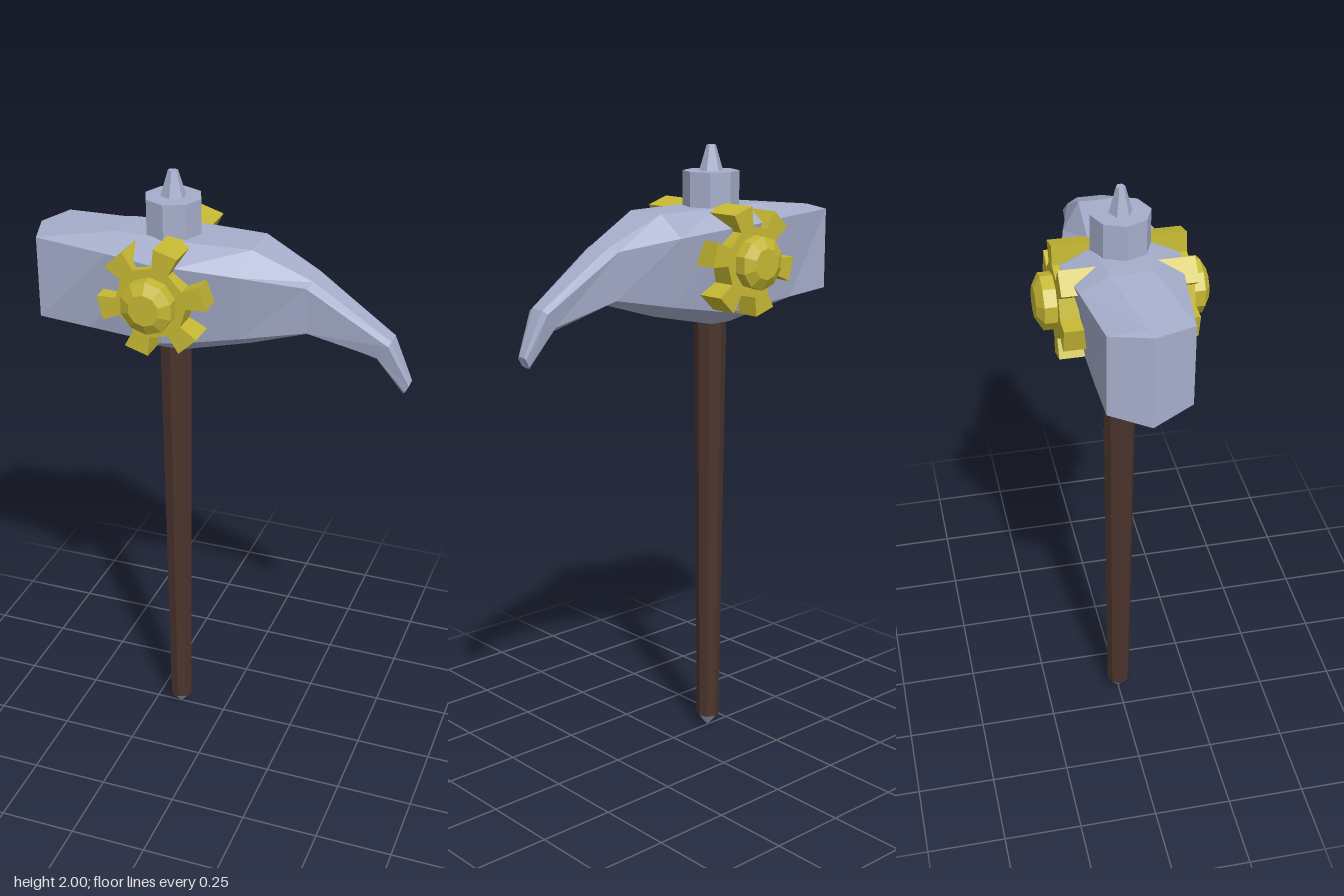
import * as THREE from 'three';

const AXIS_X = -0.16; // x of the handle, hub and cap

export function createModel() {
  const mat = (name, color) => {
    const m = new THREE.MeshStandardMaterial({ color, flatShading: true });
    m.name = name;
    return m;
  };
  const steel = mat('steel', 0xa6aecb);
  const gold = mat('gold', 0xc6b833);
  const wood = mat('darkWood', 0x4b342c);

  const model = new THREE.Group();
  model.name = 'warHammer';
  const add = (name, geometry, material, x = 0, y = 0, z = 0) => {
    const mesh = new THREE.Mesh(geometry, material);
    mesh.name = name;
    mesh.position.set(x, y, z);
    model.add(mesh);
    return mesh;
  };

  add('head', headGeometry(), steel);

  // Handle with a small pointed foot
  add('handle', new THREE.CylinderGeometry(0.053, 0.038, 1.43, 8), wood, AXIS_X, 0.76);
  const foot = add('handleFoot', new THREE.ConeGeometry(0.038, 0.045, 8), steel, AXIS_X, 0.0225);
  foot.rotation.x = Math.PI;

  // Octagonal cap and spike
  add('cap', new THREE.CylinderGeometry(0.09, 0.09, 0.16, 8), steel, AXIS_X, 1.84);
  const spike = add('spike', new THREE.CylinderGeometry(0.016, 0.041, 0.08, 6), steel, AXIS_X, 1.96);
  spike.scale.z = 0.85;

  // Toothed wheel running through the head
  const gear = new THREE.ExtrudeGeometry(gearShape(), { depth: 0.4, bevelEnabled: false });
  add('gear', gear, gold, AXIS_X, 1.65, -0.2);

  // Bevelled hub showing on both sides
  const hubProfile = [[0, -0.258], [0.05, -0.258], [0.085, -0.238], [0.085, 0.238], [0.05, 0.258], [0, 0.258]]
    .map(([r, y]) => new THREE.Vector2(r, y));
  const hub = add('hub', new THREE.LatheGeometry(hubProfile, 10), gold, AXIS_X, 1.65);
  hub.rotation.x = Math.PI / 2;

  return model;
}

// Six flared teeth
function gearShape() {
  const shape = new THREE.Shape();
  const rad = Math.PI / 180;
  for (let i = 0; i < 6; i++) {
    [[0.113, -14], [0.175, -13], [0.175, 13], [0.113, 14]].forEach(([r, offset], k) => {
      const a = (13 + 60 * i + offset) * rad;
      const x = r * Math.cos(a), y = r * Math.sin(a);
      if (i === 0 && k === 0) shape.moveTo(x, y);
      else shape.lineTo(x, y);
    });
  }
  shape.closePath();
  return shape;
}

// Eight-sided sections lofted from the blunt face to the curved beak
function headGeometry() {
  // each section: top, upper side, lower side, bottom as [x, y, half width]
  const sections = [
    [[-0.605, 1.78, 0], [-0.605, 1.78, 0], [-0.605, 1.48, 0], [-0.605, 1.48, 0]],
    [[-0.565, 1.784, 0.01], [-0.565, 1.777, 0.125], [-0.565, 1.515, 0.125], [-0.565, 1.48, 0.02]],
    [[-0.32, 1.81, 0.065], [-0.32, 1.769, 0.155], [-0.4, 1.503, 0.125], [-0.43, 1.48, 0.04]],
    [[-0.16, 1.81, 0.08], [-0.16, 1.762, 0.18], [-0.16, 1.483, 0.12], [-0.2, 1.437, 0.05]],
    [[-0.1, 1.81, 0.085], [-0.1, 1.757, 0.165], [-0.1, 1.488, 0.11], [-0.12, 1.437, 0.05]],
    [[0.115, 1.81, 0.07], [0.08, 1.738, 0.125], [0.08, 1.52, 0.085], [0.1, 1.485, 0.025]],
    [[0.3, 1.722, 0.04], [0.285, 1.712, 0.073], [0.285, 1.562, 0.06], [0.3, 1.547, 0.015]],
    [[0.54, 1.56, 0.025], [0.535, 1.55, 0.044], [0.5, 1.505, 0.035], [0.495, 1.488, 0.01]],
    [[0.602, 1.425, 0.012], [0.6, 1.418, 0.02], [0.588, 1.395, 0.018], [0.58, 1.388, 0.008]],
  ];
  const positions = [], index = [];
  for (const s of sections) {
    for (const [x, y, z] of s) positions.push(x, y, z);
    for (const [x, y, z] of [...s].reverse()) positions.push(x, y, -z);
  }
  for (let i = 0; i < sections.length - 1; i++) {
    for (let j = 0; j < 8; j++) {
      const a = i * 8 + j, b = i * 8 + (j + 1) % 8;
      index.push(a, b, a + 8, b, b + 8, a + 8);
    }
  }
  // beak tip
  const tip = (sections.length - 1) * 8;
  for (let j = 1; j < 7; j++) index.push(tip, tip + j, tip + j + 1);

  const indexed = new THREE.BufferGeometry();
  indexed.setAttribute('position', new THREE.Float32BufferAttribute(positions, 3));
  indexed.setIndex(index);
  const geometry = indexed.toNonIndexed();
  geometry.computeVertexNormals();
  return geometry;
}
